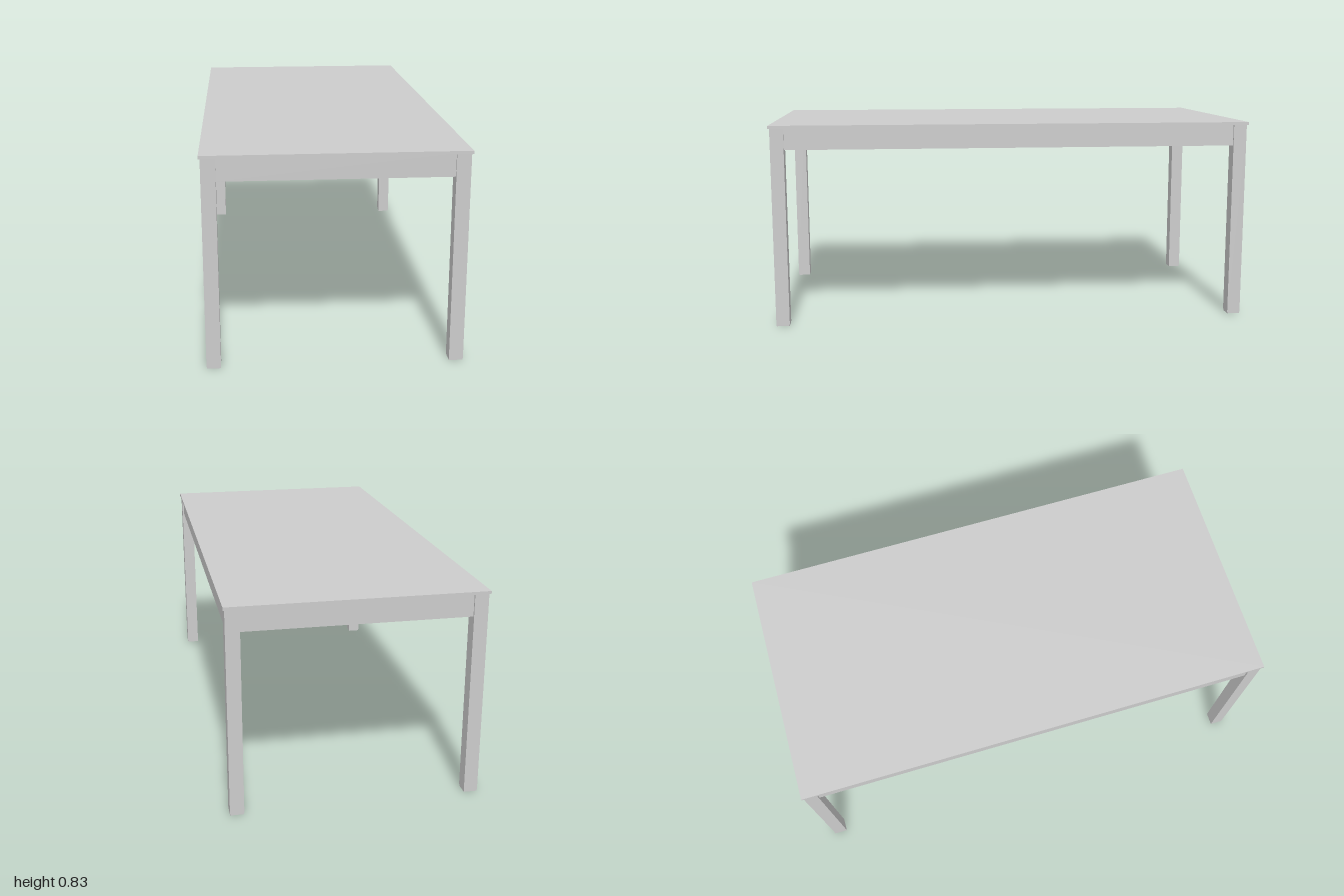
import * as THREE from 'three';

export function createModel() {
  const table = new THREE.Group();
  table.name = 'table';
  const material = new THREE.MeshStandardMaterial({ color: 0xcccccc });

  const W = 1, L = 2, H = 0.835;      // overall size
  const topT = 0.012;                 // tabletop thickness
  const leg = 0.055, inset = 0.006;   // leg section and its inset from the edge
  const footH = 0.007;
  const apronH = 0.088, apronT = 0.032, setback = 0.007;
  const underside = H - topT;

  function box(name, w, h, d, x, bottom, z) {
    const mesh = new THREE.Mesh(new THREE.BoxGeometry(w, h, d), material);
    mesh.name = name;
    mesh.position.set(x, bottom + h / 2, z);
    table.add(mesh);
  }

  box('tabletop', W, topT, L, 0, underside, 0);

  // Square legs with thin foot pads
  const legX = W / 2 - inset - leg / 2;
  const legZ = L / 2 - inset - leg / 2;
  for (const sx of [-1, 1]) {
    for (const sz of [-1, 1]) {
      const name = (sz > 0 ? 'front' : 'back') + (sx > 0 ? 'Left' : 'Right');
      box(name + 'Leg', leg, underside - footH, leg, sx * legX, footH, sz * legZ);
      box(name + 'Foot', leg - 0.002, footH, leg - 0.002, sx * legX, 0, sz * legZ);
    }
  }

  // Aprons between the legs, set slightly back from their outer faces
  const apronX = W / 2 - inset - setback - apronT / 2;
  const apronZ = L / 2 - inset - setback - apronT / 2;
  const bottom = underside - apronH;
  for (const s of [-1, 1]) {
    box(s > 0 ? 'frontApron' : 'backApron', 2 * legX - leg, apronH, apronT, 0, bottom, s * apronZ);
    box(s > 0 ? 'leftApron' : 'rightApron', apronT, apronH, 2 * legZ - leg, s * apronX, bottom, 0);
  }

  return table;
}
